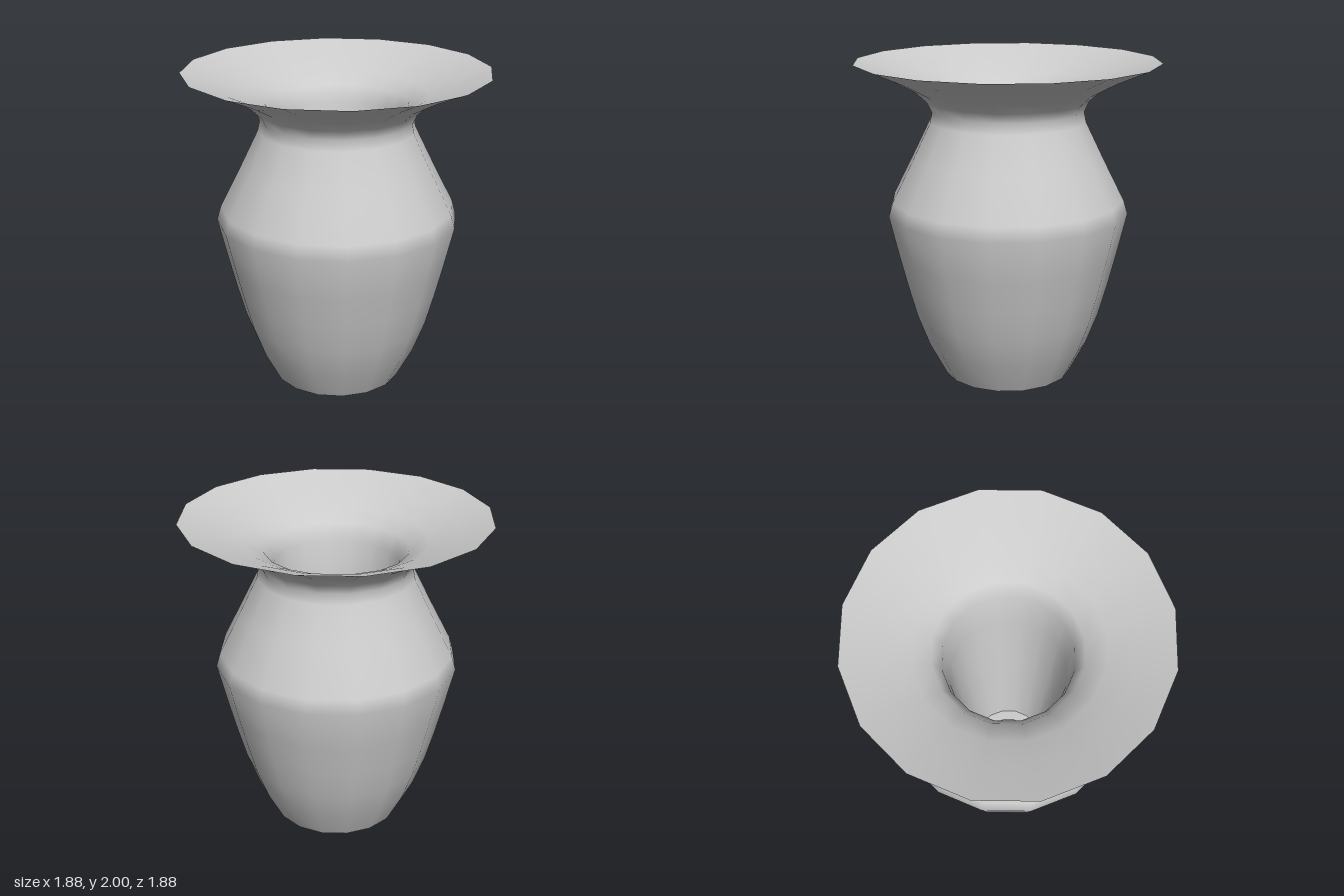
import * as THREE from 'three';

const SIDES = 16;
const material = new THREE.MeshStandardMaterial({ color: 0xcccccc, side: THREE.DoubleSide });

// One smooth turned surface; separate surfaces keep the edges between them sharp
function turned(name, profile) {
  const points = profile.map(([r, y]) => new THREE.Vector2(r, y));
  const mesh = new THREE.Mesh(new THREE.LatheGeometry(points, SIDES), material);
  mesh.name = name;
  return mesh;
}

export function createModel() {
  const vase = new THREE.Group();
  vase.name = 'vase';

  const foot = 0.405, hole = 0.165, floorRadius = 0.23, floorY = 0.15;
  const rim = [0.94, 2];

  // Outer body: foot, belly, neck and flared lip
  vase.add(turned('outerWall', [
    [foot, 0], [0.51, 0.2], [0.585, 0.4], [0.64, 0.6], [0.69, 0.8],
    [0.752, 1.065], [0.727, 1.15], [0.595, 1.41], [0.485, 1.635],
    [0.472, 1.7], [0.5, 1.76], [0.57, 1.825], [0.735, 1.912], rim,
  ]));

  // Inside of the lip and the steep tapering well
  vase.add(turned('innerWall', [
    rim, [0.72, 1.922], [0.56, 1.857], [0.44, 1.8], [0.385, 1.7],
    [0.35, 1.45], [0.29, 0.8], [floorRadius, floorY],
  ]));

  // Floor of the well, drain hole and underside
  vase.add(turned('innerFloor', [[floorRadius, floorY], [hole, floorY]]));
  vase.add(turned('drainHole', [[hole, floorY], [hole, 0]]));
  vase.add(turned('underside', [[hole, 0], [foot, 0]]));

  return vase;
}
